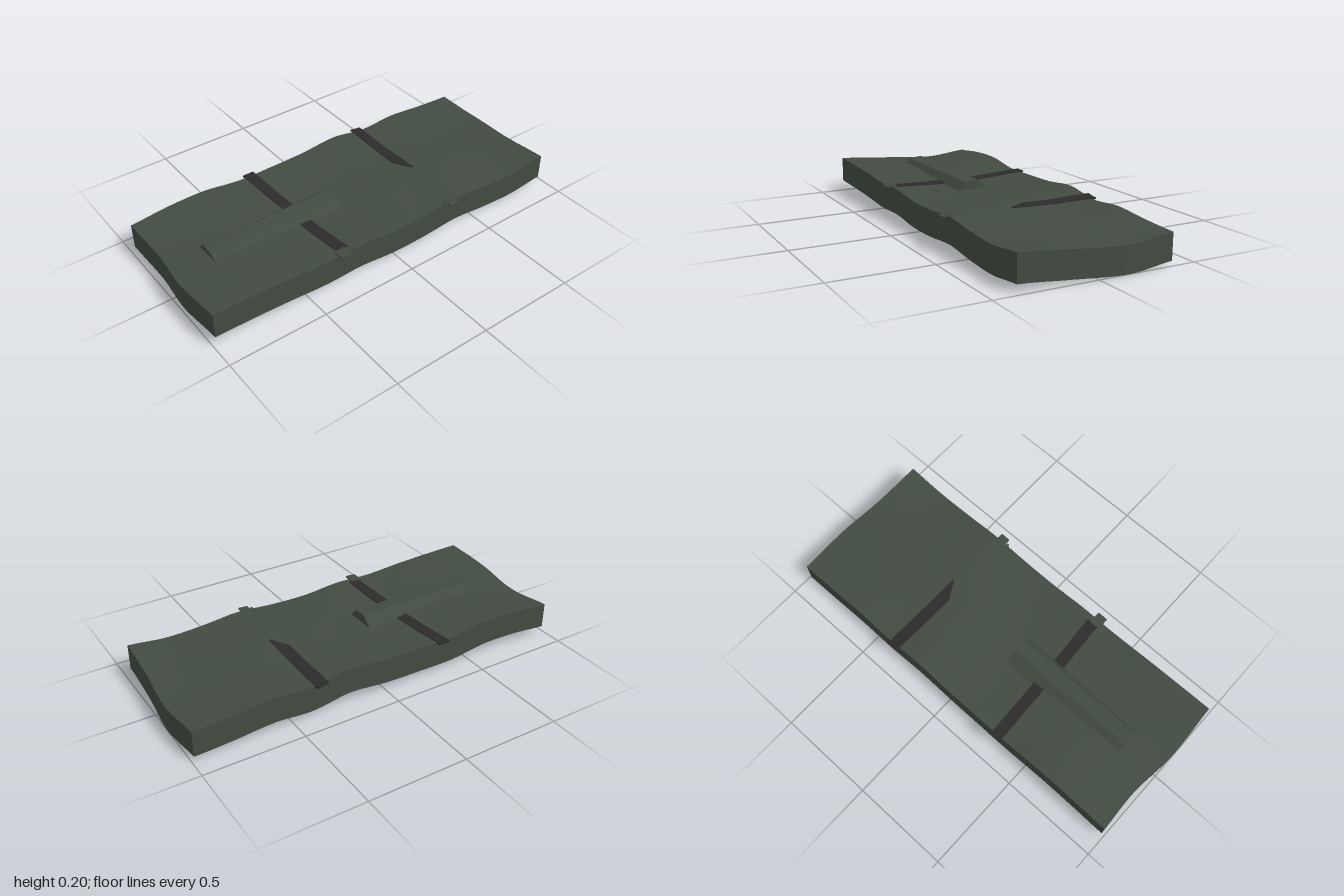
import * as THREE from 'three';

const THICK = 0.13;

// Top surface heights: rows across z, samples every 0.2 along x
const ROWS = [
  { z: -0.39, h: [.168, .187, .19, .165, .165, .17, .187, .16, .172, .157, .148] },
  { z: -0.17, h: [.15, .165, .17, .158, .15, .155, .17, .158, .153, .142, .13] },
  { z: 0.1, h: [.165, .168, .165, .158, .15, .15, .165, .168, .155, .147, .143] },
  { z: 0.375, h: [.188, .184, .176, .164, .169, .152, .155, .169, .152, .145, .165] },
];

// Catmull-Rom through evenly spaced values, t in 0..length-1
function spline(v, t) {
  const n = v.length - 1;
  const i = Math.min(n - 1, Math.max(0, Math.floor(t)));
  const f = Math.min(1, Math.max(0, t - i));
  const a = v[Math.max(0, i - 1)], b = v[i], c = v[i + 1], d = v[Math.min(n, i + 2)];
  return b + 0.5 * f * (c - a + f * (2 * a - 5 * b + 4 * c - d + f * (3 * (b - c) + d - a)));
}

function topHeight(x, z) {
  let k = 0;
  while (k < 2 && z > ROWS[k + 1].z) k++;
  const t = k + (z - ROWS[k].z) / (ROWS[k + 1].z - ROWS[k].z);
  return spline(ROWS.map(r => spline(r.h, (x + 1) * 5)), Math.min(3, Math.max(0, t)));
}

// Move every vertex of a geometry by a rule
function warp(geometry, rule) {
  const p = geometry.attributes.position;
  for (let i = 0; i < p.count; i++) p.setXYZ(i, ...rule(p.getX(i), p.getY(i), p.getZ(i)));
  geometry.computeVertexNormals();
  return geometry;
}

export function createModel() {
  const model = new THREE.Group();
  const green = new THREE.MeshStandardMaterial({ color: 0x424b41 });
  green.name = 'dark olive fabric';
  const black = new THREE.MeshStandardMaterial({ color: 0x2d2b2c });
  black.name = 'black webbing';

  function add(name, geometry, material) {
    const mesh = new THREE.Mesh(geometry, material);
    mesh.name = name;
    model.add(mesh);
    return mesh;
  }

  // Undulating mat with slightly uneven ends
  const leftEnd = [.985, 1, .98, .972], rightEnd = [-.985, -.975, -1, -.99];
  add('mat', warp(new THREE.BoxGeometry(2, THICK, 0.765, 50, 1, 20), (x, y, z) => {
    const zz = z - 0.0075;
    const t = (z / 0.765 + 0.5) * 3;
    const a = spline(rightEnd, t), b = spline(leftEnd, t);
    const top = topHeight(x, zz);
    return [a + (b - a) * (x + 1) / 2, y > 0 ? top : top - THICK, zz];
  }), green);

  // Eight-sided bar sunk through the mat
  const R = 0.095, section = new THREE.Shape();
  for (let i = 0; i < 8; i++) {
    const a = THREE.MathUtils.degToRad(27 + i * 45);
    const u = -R * Math.sin(a), v = R * Math.cos(a);
    if (i) section.lineTo(u, v); else section.moveTo(u, v);
  }
  const bar = add('bar', new THREE.ExtrudeGeometry(section, { depth: 0.69, bevelEnabled: false }), green);
  bar.rotation.y = Math.PI / 2;
  bar.position.set(-0.8, 0.106, 0);

  // Thin strips lying on the mat; the centre line drifts from x0 to x1, tip narrows the front end
  function strip(name, material, x0, x1, z0, z1, width, lift = 0.004, tip = 0) {
    add(name, warp(new THREE.BoxGeometry(1, 0.008, 1, 3, 1, 20), (x, y, z) => {
      const t = z + 0.5, zz = z0 + (z1 - z0) * t;
      const cut = tip ? Math.max(0, (zz - (z1 - tip)) / tip) : 0;
      const u = x + (0.5 - x) * cut * 0.9;
      const xx = x0 + (x1 - x0) * t + u * width;
      return [xx, topHeight(xx, zz) + lift - 0.004 + y, zz];
    }), material);
  }
  strip('rearStrapRight', black, -0.326, -0.308, -0.41, -0.06, 0.06);
  strip('frontStrapRight', black, -0.31, -0.292, 0.04, 0.345, 0.06);
  strip('strapLeft', black, 0.355, 0.347, -0.41, 0.05, 0.062, 0.004, 0.09);

  // Green strap ends at the front edge
  strip('strapEndRight', green, -0.307, -0.307, 0.34, 0.405, 0.054, 0.006);
  strip('strapEndLeft', green, 0.342, 0.342, 0.355, 0.405, 0.05, 0.004);
  strip('strapKeeperLeft', green, 0.303, 0.305, 0.305, 0.385, 0.012, 0.004);

  // Low flap beside the front strap
  strip('flap', green, -0.175, -0.175, 0.14, 0.185, 0.13, 0.002);
  return model;
}
